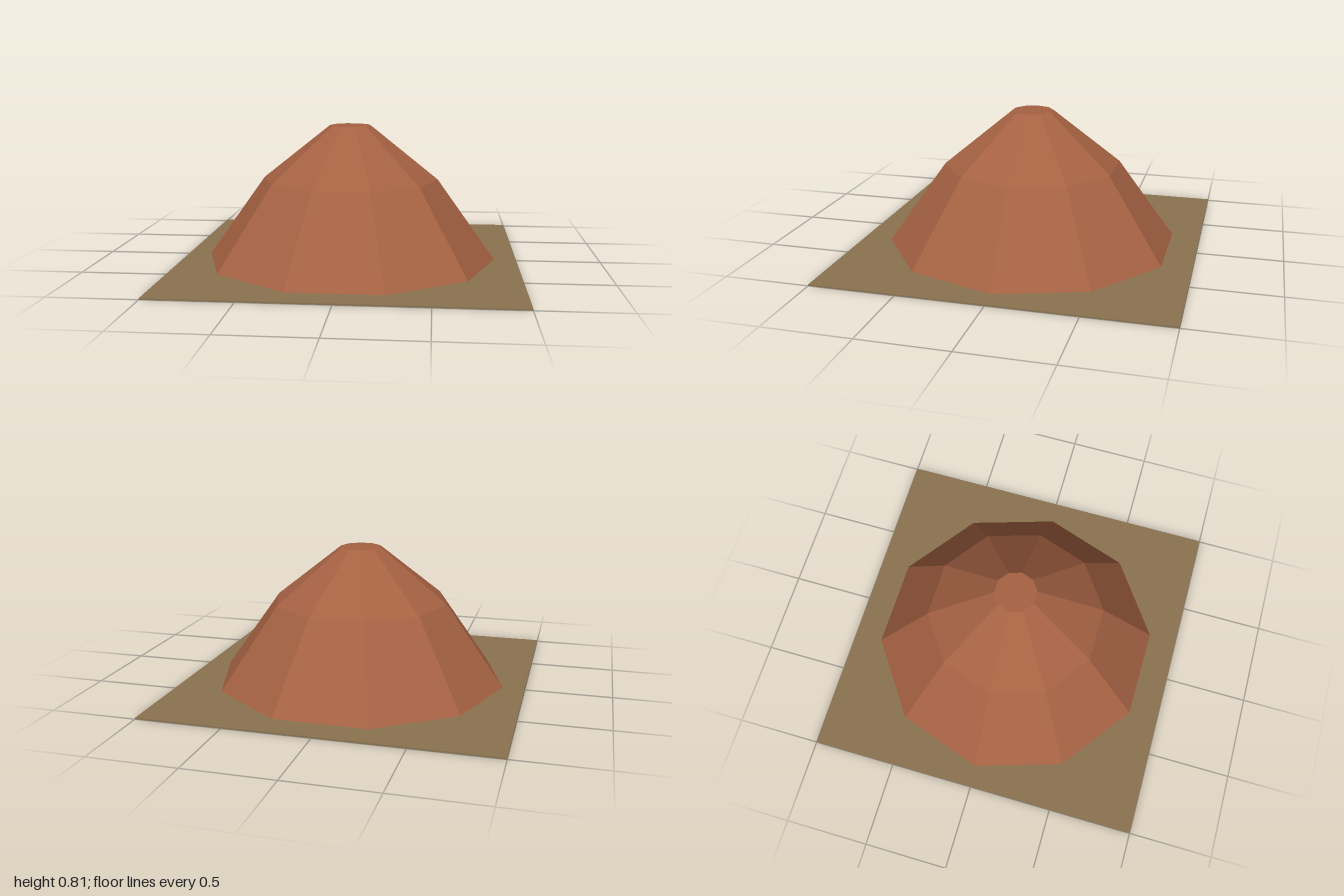
import * as THREE from 'three';

export function createModel() {
  const group = new THREE.Group();
  const clay = new THREE.MeshStandardMaterial({ color: 0xa66243, flatShading: true });
  clay.name = 'reddish clay';
  const earth = new THREE.MeshStandardMaterial({ color: 0x8b7350 });
  earth.name = 'dry earth';

  // Thin square ground plate
  const thickness = 0.008;
  const ground = new THREE.Mesh(new THREE.BoxGeometry(2, thickness, 2), earth);
  ground.name = 'ground';
  ground.position.y = thickness / 2;
  group.add(ground);

  // Ten-sided mound with a steeper skirt, a gentler shoulder and a flat top
  const profile = [[0.87, thickness], [0.525, 0.49], [0.123, 0.81], [0, 0.81]]
    .map(([r, y]) => new THREE.Vector2(r, y));
  const twist = 0.013;
  const mound = new THREE.Mesh(
    new THREE.LatheGeometry(profile, 10, Math.PI / 2 - twist), clay);
  mound.name = 'mound';
  group.add(mound);

  return group;
}
